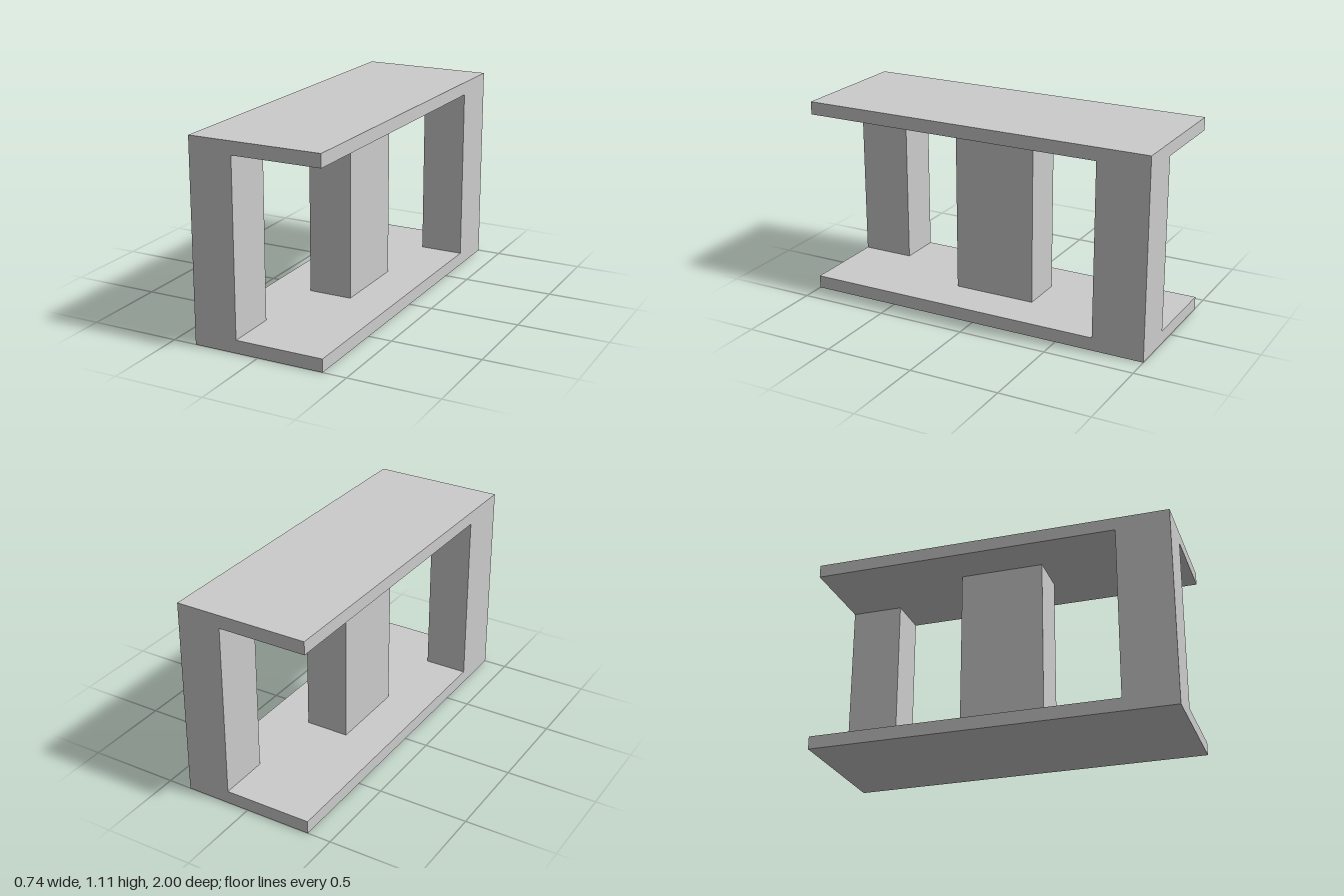
import * as THREE from 'three';

const WIDTH = 0.737, HEIGHT = 1.106, LENGTH = 2, SLAB = 0.072;

export function createModel() {
  const model = new THREE.Group();
  model.name = 'steppedPillarFrame';
  const material = new THREE.MeshStandardMaterial({ color: 0xcccccc, flatShading: true });

  // Box given by its extents along each axis
  const addBox = (name, [x0, x1], [y0, y1], [z0, z1]) => {
    const mesh = new THREE.Mesh(new THREE.BoxGeometry(x1 - x0, y1 - y0, z1 - z0), material);
    mesh.position.set((x0 + x1) / 2, (y0 + y1) / 2, (z0 + z1) / 2);
    mesh.name = name;
    model.add(mesh);
  };

  const x = WIDTH / 2, z = LENGTH / 2;

  // Floor and roof slabs
  addBox('bottomSlab', [-x, x], [0, SLAB], [-z, z]);
  addBox('topSlab', [-x, x], [HEIGHT - SLAB, HEIGHT], [-z, z]);

  // Three pillars stepping diagonally across the slabs
  const pillarY = [SLAB, HEIGHT - SLAB];
  addBox('frontPillar', [-x, -0.125], pillarY, [0.705, z]);
  addBox('middlePillar', [-0.125, 0.121], pillarY, [-0.236, 0.231]);
  addBox('backPillar', [0.121, x], pillarY, [-z, -0.71]);

  return model;
}
